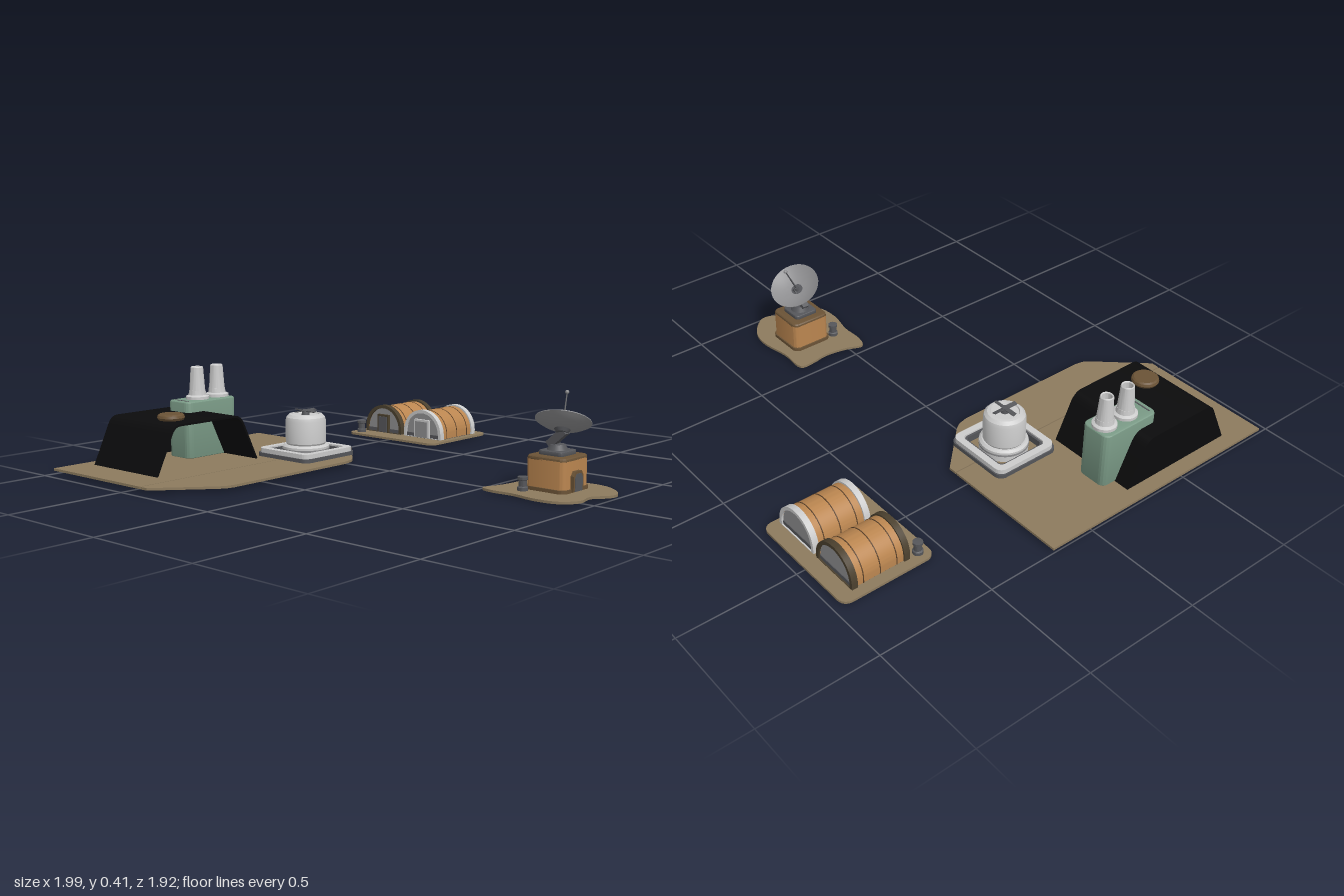
import * as THREE from 'three';
import { toCreasedNormals } from 'three/addons/utils/BufferGeometryUtils.js';

const COLORS = {
  ground: 0x8d7b5e, orange: 0xbb8650, brown: 0x6b5336, darkBrown: 0x4b402e, black: 0x0b0b0c,
  green: 0x7a9a86, light: 0xbcbcbe, mid: 0x8e8e90, dark: 0x55565a, seam: 0x5a4028,
};
const MATS = {};
for (const [key, color] of Object.entries(COLORS)) {
  MATS[key] = new THREE.MeshStandardMaterial({ color, side: THREE.DoubleSide });
}

function add(parent, name, geo, mat, x = 0, y = 0, z = 0) {
  const mesh = new THREE.Mesh(geo, MATS[mat]);
  mesh.name = name;
  mesh.position.set(x, y, z);
  parent.add(mesh);
  return mesh;
}

function group(parent, name, x = 0, y = 0, z = 0) {
  const g = new THREE.Group();
  g.name = name;
  g.position.set(x, y, z);
  parent.add(g);
  return g;
}

// Extrusion along +z, smooth on curves and sharp on edges
function extrude(shape, depth, bevel = 0) {
  return toCreasedNormals(new THREE.ExtrudeGeometry(shape, {
    depth: depth - 2 * bevel, bevelEnabled: bevel > 0, bevelThickness: bevel,
    bevelSize: bevel, bevelOffset: -bevel, bevelSegments: 3, curveSegments: 24,
  }).translate(0, 0, bevel), 0.5);
}
// Flat slab: the outline is given as (x, -z), the base lies on y = 0
const slab = (shape, height, bevel = 0) => extrude(shape, height, bevel).rotateX(-Math.PI / 2);

function roundRect(hx, hy, r, Kind = THREE.Shape) {
  const s = new Kind();
  s.absarc(hx - r, hy - r, r, 0, Math.PI / 2);
  s.absarc(-hx + r, hy - r, r, Math.PI / 2, Math.PI);
  s.absarc(-hx + r, -hy + r, r, Math.PI, Math.PI * 1.5);
  s.absarc(hx - r, -hy + r, r, Math.PI * 1.5, Math.PI * 2);
  s.closePath();
  return s;
}

const lathe = (pts) => toCreasedNormals(
  new THREE.LatheGeometry(pts.map(([r, y]) => new THREE.Vector2(r, y)), 40), 0.5);
const box = (w, h, d) => new THREE.BoxGeometry(w, h, d);
const polygon = (pts) => new THREE.Shape(pts.map(([x, z]) => new THREE.Vector2(x, -z)));

// Half-round hut outline with short straight legs
function archShape(r, leg, Kind = THREE.Shape) {
  const s = new Kind();
  s.moveTo(r, -leg);
  s.lineTo(r, 0);
  s.absarc(0, 0, r, 0, Math.PI);
  s.lineTo(-r, -leg);
  s.closePath();
  return s;
}
function archRing(outer, inner, width) {
  const s = archShape(outer, 0.02);
  s.holes.push(archShape(inner, 0.018, THREE.Path));
  return extrude(s, width);
}

function post(parent, x, z) {
  add(parent, 'post', lathe([[0, 0], [0.021, 0], [0.021, 0.015], [0.016, 0.019], [0.016, 0.042],
    [0.02, 0.045], [0.02, 0.056], [0, 0.058]]), 'dark', x, 0.012, z);
}

function buildYard(root) {
  const yard = group(root, 'yard');
  add(yard, 'mainPad', slab(polygon([[-1, -0.2], [-0.441, -0.2], [-0.441, 0.955], [-1, 0.955]]), 0.01),
    'ground', 0, 0.014);
  add(yard, 'sidePad', slab(polygon([[-0.436, -0.2], [-0.4, -0.2], [-0.222, -0.015], [-0.203, 0.015],
    [-0.193, 0.06], [-0.193, 0.69], [-0.2, 0.725], [-0.22, 0.755], [-0.4, 0.955], [-0.436, 0.955]]), 0.01),
    'ground', 0, 0.014);

  // Hollow hangar, open toward +x; outline in (-z, y)
  const outline = (t, Kind) => {
    const s = new Kind();
    s.moveTo(-0.8 + t, 0.022);
    s.lineTo(-0.72 + t, 0.19 - t / 2);
    s.quadraticCurveTo(-0.705 + t, 0.222 - t, -0.67, 0.222 - t);
    s.lineTo(-0.38, 0.222 - t);
    s.quadraticCurveTo(-0.345 - t, 0.222 - t, -0.325 - t, 0.185 - t / 2);
    s.lineTo(-0.25 - t, 0.022);
    return s;
  };
  const shell = outline(0, THREE.Shape);
  const inner = outline(0.008, THREE.Path).getPoints(12).reverse();
  inner.forEach((p) => shell.lineTo(p.x, p.y));
  shell.closePath();
  const hangar = group(yard, 'hangar', -0.935, 0, 0);
  add(hangar, 'hangarShell', extrude(shell, 0.405).rotateY(Math.PI / 2), 'black');
  add(hangar, 'hangarEndWall', extrude(outline(0.004, THREE.Shape), 0.006).rotateY(Math.PI / 2), 'black');
  add(yard, 'roofHatch', lathe([[0, 0], [0.05, 0], [0.057, 0.012], [0.054, 0.022], [0.047, 0.027], [0, 0.027]]),
    'brown', -0.655, 0.22, 0.615);

  // Generator block with two stacks
  const plant = group(yard, 'generator', -0.799, 0.022, 0.32);
  add(plant, 'generatorBody', slab(roundRect(0.068, 0.138, 0.028), 0.245, 0.008), 'green');
  add(plant, 'generatorVent', box(0.09, 0.003, 0.006), 'dark', 0, 0.245, 0.115);
  for (const z of [-0.085, 0.027]) {
    add(plant, 'stack', lathe([[0, 0], [0.05, 0], [0.05, 0.014], [0.038, 0.02], [0.035, 0.04], [0.034, 0.04],
      [0.027, 0.138], [0.024, 0.142], [0.02, 0.138], [0.02, 0.09], [0, 0.09]]), 'light', 0, 0.243, z);
  }

  // Tank standing in a rimmed tray
  const tank = group(yard, 'tankUnit', -0.432, 0.022, 0.055);
  const rim = (half, hole, h) => {
    const s = roundRect(half, half, 0.035);
    s.holes.push(roundRect(hole, hole, 0.02, THREE.Path));
    return slab(s, h);
  };
  add(tank, 'traySkirt', rim(0.154, 0.115, 0.018), 'dark');
  add(tank, 'trayRim', rim(0.148, 0.118, 0.037), 'light');
  add(tank, 'trayLining', rim(0.12, 0.108, 0.03), 'dark');
  add(tank, 'tankBody', lathe([[0, 0], [0.1, 0], [0.1, 0.045], [0.09, 0.053], [0.083, 0.053], [0.087, 0.06],
    [0.087, 0.155], [0.083, 0.17], [0.071, 0.182], [0.06, 0.184], [0.057, 0.178], [0, 0.178]]), 'light');
  add(tank, 'tankFoot', lathe([[0.09, 0.028], [0.102, 0.028], [0.102, 0.036], [0.09, 0.036]]), 'mid');
  add(tank, 'fanHub', new THREE.CylinderGeometry(0.014, 0.018, 0.024, 20), 'dark', 0, 0.188, 0);
  for (let i = 0; i < 4; i++) {
    const arm = group(tank, 'fanArm', 0, 0.196, 0);
    arm.rotation.y = i * Math.PI / 2;
    add(arm, 'fanBlade', box(0.046, 0.004, 0.017), 'dark', 0.035, 0, 0).rotation.x = 0.3;
  }
}

function buildHuts(root) {
  const camp = group(root, 'hutCamp');
  add(camp, 'hutPad', slab(roundRect(0.262, 0.208, 0.04), 0.01), 'ground', -0.482, 0.004, -0.757);
  post(camp, -0.695, -0.595);
  [[-0.595, 'darkBrown', 'dark'], [-0.355, 'light', 'mid']].forEach(([x, ringMat, doorMat], i) => {
    const hut = group(camp, 'hut', x, 0.036, -0.77);
    add(hut, 'hutBase', box(0.205, 0.034, 0.25), 'dark', 0, -0.019, 0);
    add(hut, 'hutRoof', archRing(0.104, 0.096, 0.246), 'orange', 0, 0, -0.123);
    for (const z of [-0.075, 0, 0.075]) {
      add(hut, 'roofSeam', archRing(0.1052, 0.1, 0.004), 'seam', 0, 0, z - 0.002);
    }
    for (const z of [-0.131, 0.105]) add(hut, 'endRing', archRing(0.111, 0.096, 0.026), ringMat, 0, 0, z);
    for (const z of [-0.122, 0.116]) add(hut, 'endWall', extrude(archShape(0.098, 0.018), 0.006), 'mid', 0, 0, z);
    // Entrance in the front wall
    const w = i ? 0.043 : 0.034;
    add(hut, 'doorFrame', box(w * 2, 0.084, 0.016), i ? 'light' : 'darkBrown', 0, 0.024, 0.128);
    add(hut, 'door', box(w * 2 - 0.016, 0.074, 0.006), doorMat, 0, 0.02, 0.136);
  });
}

function buildDishStation(root) {
  const station = group(root, 'dishStation');
  const edge = [[0.56, -0.255], [0.68, -0.258], [0.83, -0.28], [0.915, -0.257], [0.99, -0.18], [0.985, -0.13],
    [0.94, -0.07], [0.95, 0.015], [0.9, 0.08], [0.8, 0.096], [0.68, 0.075], [0.58, 0.076], [0.528, 0.056],
    [0.553, -0.02], [0.567, -0.12], [0.556, -0.19]];
  const curve = new THREE.CatmullRomCurve3(edge.map(([x, z]) => new THREE.Vector3(x, 0, z)), true);
  add(station, 'dishPad', slab(polygon(curve.getPoints(80).slice(0, -1).map((p) => [p.x, p.z])), 0.01),
    'ground', 0, 0.004);
  post(station, 0.68, 0.003);

  // Cabin with door on the +x side
  const cabin = group(station, 'cabin', 0.755, 0, -0.118);
  add(cabin, 'cabinFoot', slab(roundRect(0.095, 0.095, 0.03), 0.028), 'brown');
  add(cabin, 'cabinBody', slab(roundRect(0.089, 0.089, 0.026), 0.125), 'orange', 0, 0.012);
  add(cabin, 'cabinRoof', slab(roundRect(0.089, 0.089, 0.026), 0.025, 0.01), 'brown', 0, 0.124);
  const door = new THREE.Shape([[-0.033, 0], [0.033, 0], [0.033, 0.06], [0.02, 0.078], [-0.02, 0.078],
    [-0.033, 0.06]].map(([x, y]) => new THREE.Vector2(x, y)));
  add(cabin, 'doorFrame', extrude(door, 0.02).rotateY(Math.PI / 2), 'brown', 0.084, 0.018, 0.008);
  add(cabin, 'door', extrude(door, 0.006).rotateY(Math.PI / 2).scale(1, 0.88, 0.78), 'dark', 0.1, 0.018, 0.008);
  add(cabin, 'pedestal', slab(roundRect(0.055, 0.055, 0.015), 0.02, 0.005), 'dark', 0, 0.146);
  add(cabin, 'turntable', new THREE.CylinderGeometry(0.03, 0.042, 0.022, 24), 'dark', 0, 0.176, 0);

  // Tilted dish with feed mast
  const strut = add(station, 'dishStrut', box(0.032, 0.095, 0.03), 'dark', 0.757, 0.213, -0.113);
  strut.rotation.z = -0.85;
  const dish = group(station, 'dish', 0.773, 0.277, -0.127);
  dish.quaternion.setFromUnitVectors(new THREE.Vector3(0, 1, 0), new THREE.Vector3(-0.19, 0.86, -0.47).normalize());
  const bowl = [];
  for (let i = 0; i <= 10; i++) bowl.push([0.11 * i / 10, -0.038 + 0.038 * (i / 10) ** 2]);
  for (let i = 10; i >= 0; i--) bowl.push([0.11 * i / 10, -0.032 + 0.035 * (i / 10) ** 2]);
  add(dish, 'dishBowl', lathe(bowl), 'mid');
  add(dish, 'dishMount', new THREE.CylinderGeometry(0.035, 0.022, 0.018, 24), 'dark', 0, -0.039, 0);
  add(dish, 'feedBase', new THREE.CylinderGeometry(0.008, 0.014, 0.02, 16), 'dark', 0, -0.024, 0);
  add(dish, 'feedMast', new THREE.CylinderGeometry(0.0025, 0.004, 0.15, 12), 'dark', 0, 0.045, 0);
  add(dish, 'feedTip', new THREE.SphereGeometry(0.008, 16, 12), 'mid', 0, 0.121, 0);
}

export function createModel() {
  const root = new THREE.Group();
  root.name = 'outpost';
  buildYard(root);
  buildHuts(root);
  buildDishStation(root);
  return root;
}
